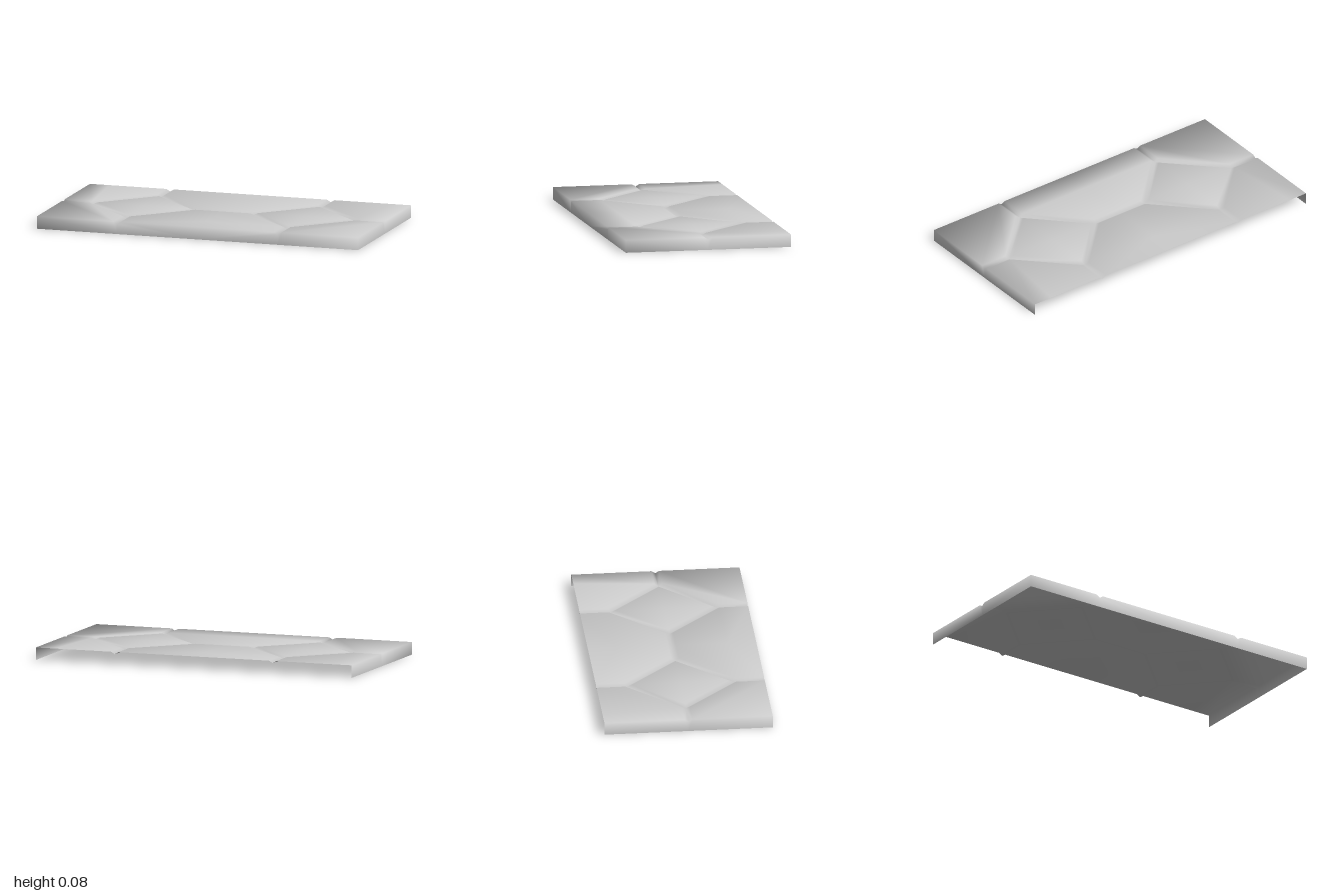
import * as THREE from 'three';
import { mergeVertices } from 'three/addons/utils/BufferGeometryUtils.js';

const TOP = 0.075, LOW = 0.061; // tile height, groove bottom

// Named points of one quarter of the slab: [x, z, y]
const P = {
  mO: [0, 0, LOW], mA: [0, 0.023, TOP], mM: [0, 0.33, TOP], mF: [0, 0.5, TOP],
  mE: [0.17, 0.023, TOP], mD: [0.477, 0.33, TOP], mC: [0.477, 0.5, TOP],
  gW: [0.18, 0, LOW], gN: [0.5, 0.32, LOW], gE: [0.82, 0, LOW], gF: [0.5, 0.5, LOW], gS: [1, 0, LOW],
  dW: [0.213, 0, TOP], dN: [0.5, 0.287, TOP], dE: [0.787, 0, TOP], dC: [0.5, 0, TOP],
  A: [1, 0.023, TOP], B: [1, 0.5, TOP], C: [0.523, 0.5, TOP], D: [0.523, 0.33, TOP],
  E: [0.83, 0.023, TOP], S: [0.88, 0.5, TOP],
  bS: [1, 0, 0], bB: [1, 0.5, 0], bF: [0.5, 0.5, 0], bM: [0, 0.5, 0],
};

const COMMON = [
  'mM mF mC mD', 'mA mM mD mE',                     // long middle tile
  'dC dW dN', 'dC dN dE',                           // diamond tile
  'mO mA mE gW', 'gE E A gS',                       // grooves along x
  'gW mE mD gN', 'dW gW gN dN', 'dN gN gE dE', 'gN D E gE', // grooves around the diamond
  'gN mD mC gF', 'gN gF C D',                       // grooves along z
  'bS gS A B bB',                                   // side wall
];
// Corner tiles; only the front has a wall
const FRONT = ['E D C A', 'A C B', 'bM bF gF mC mF', 'bF bB B C gF'];
const BACK = ['E D C S', 'E S B A'];

// Smooth normals weighted by corner angle
function smoothNormals(geo) {
  const pos = geo.attributes.position, idx = geo.index;
  const sums = Array.from({ length: pos.count }, () => new THREE.Vector3());
  const v = [0, 1, 2].map(() => new THREE.Vector3());
  for (let i = 0; i < idx.count; i += 3) {
    const id = [0, 1, 2].map((k) => idx.getX(i + k));
    id.forEach((n, k) => v[k].fromBufferAttribute(pos, n));
    const normal = v[1].clone().sub(v[0]).cross(v[2].clone().sub(v[0])).normalize();
    id.forEach((n, k) => {
      const a = v[(k + 1) % 3].clone().sub(v[k]);
      const b = v[(k + 2) % 3].clone().sub(v[k]);
      sums[n].addScaledVector(normal, a.angleTo(b));
    });
  }
  const out = sums.flatMap((s) => s.normalize().toArray());
  geo.setAttribute('normal', new THREE.Float32BufferAttribute(out, 3));
}

export function createModel() {
  const stone = new THREE.MeshStandardMaterial({ color: 0xcccccc, side: THREE.DoubleSide });
  stone.name = 'light grey stone';

  // Mirror the quarter into all four corners
  const verts = [];
  for (const sx of [1, -1]) for (const sz of [1, -1]) {
    for (const face of [...COMMON, ...(sz > 0 ? FRONT : BACK)]) {
      const loop = face.split(' ').map((n) => [P[n][0] * sx, P[n][2], P[n][1] * sz]);
      if (sx * sz < 0) loop.reverse();
      // keep the same fan centre after reversing
      if (sx * sz < 0) loop.unshift(loop.pop());
      for (let i = 1; i < loop.length - 1; i++) verts.push(...loop[0], ...loop[i], ...loop[i + 1]);
    }
  }
  let geo = new THREE.BufferGeometry();
  geo.setAttribute('position', new THREE.Float32BufferAttribute(verts, 3));
  geo = mergeVertices(geo, 1e-4);
  smoothNormals(geo);

  const slab = new THREE.Mesh(geo, stone);
  slab.name = 'groovedPavingSlab';
  const group = new THREE.Group();
  group.name = 'pavingSlab';
  group.add(slab);
  return group;
}
